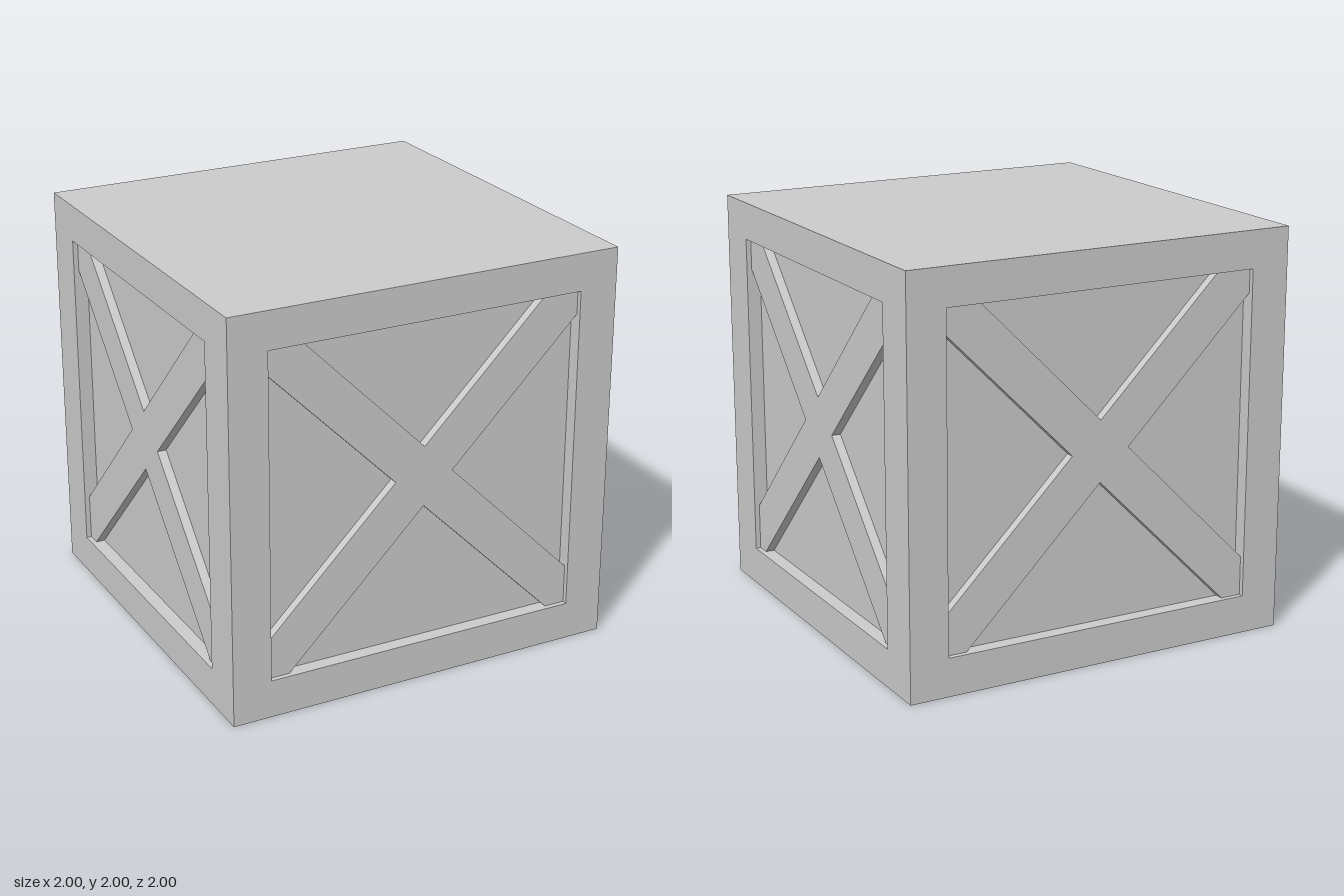
import * as THREE from 'three';

const material = new THREE.MeshStandardMaterial({ color: 0xcccccc, flatShading: true });

// Box given by its min and max corners
function slab(name, [x0, y0, z0], [x1, y1, z1]) {
  const mesh = new THREE.Mesh(new THREE.BoxGeometry(x1 - x0, y1 - y0, z1 - z0), material);
  mesh.position.set((x0 + x1) / 2, (y0 + y1) / 2, (z0 + z1) / 2);
  mesh.name = name;
  return mesh;
}

// Diagonal cross trimmed to an opening of half width a, reaching t up and b down
function crossBrace(name, a, t, b, inner, outer) {
  const w = 0.15;
  const half = [[0, -w], [b - w, -b], [a, -b], [a, w - a], [w, 0], [a, a - w], [a, t], [t - w, t], [0, w]];
  const mirrored = half.slice(1, -1).reverse().map(([x, y]) => [-x, y]);
  const shape = new THREE.Shape([...half, ...mirrored].map(([x, y]) => new THREE.Vector2(x, y)));
  const geometry = new THREE.ExtrudeGeometry(shape, { depth: outer - inner, bevelEnabled: false });
  geometry.translate(0, 0, inner);
  const mesh = new THREE.Mesh(geometry, material);
  mesh.name = name;
  return mesh;
}

export function createModel() {
  const crate = new THREE.Group();
  crate.name = 'crate';
  const ox = 0.805, oz = 0.77;      // half openings along x and z
  const low = 0.19, high = 1.815;   // bottom and top of the side openings
  const panel = 0.93, brace = 0.975; // panel and brace surfaces from the centre
  const mid = 1.04;                 // height where the braces cross

  // Recessed panels and solid lid
  crate.add(slab('panels', [-panel, 1 - panel, -panel], [panel, high, panel]));
  crate.add(slab('lid', [-1, high, -1], [1, 2, 1]));

  // Corner posts and bottom rails
  for (const s of [-1, 1]) {
    const [x0, x1] = s > 0 ? [ox, 1] : [-1, -ox];
    const [z0, z1] = s > 0 ? [oz, 1] : [-1, -oz];
    crate.add(slab('bottomRailAcross', [-1, 0, z0], [1, low, z1]));
    crate.add(slab('bottomRailAlong', [x0, 0, -oz], [x1, low, oz]));
    for (const [p0, p1] of [[oz, 1], [-1, -oz]]) {
      crate.add(slab('cornerPost', [x0, low, p0], [x1, high, p1]));
    }
  }

  // Cross braces on the four sides
  ['frontBrace', 'leftBrace', 'backBrace', 'rightBrace'].forEach((name, i) => {
    const mesh = crossBrace(name, i % 2 ? oz : ox, high - mid, mid - low, panel, brace);
    mesh.position.y = mid;
    mesh.rotation.y = i * Math.PI / 2;
    crate.add(mesh);
  });

  // Cross brace underneath
  const under = crossBrace('bottomBrace', ox, oz, oz, panel, brace);
  under.position.y = 1;
  under.rotation.x = Math.PI / 2;
  crate.add(under);

  return crate;
}
